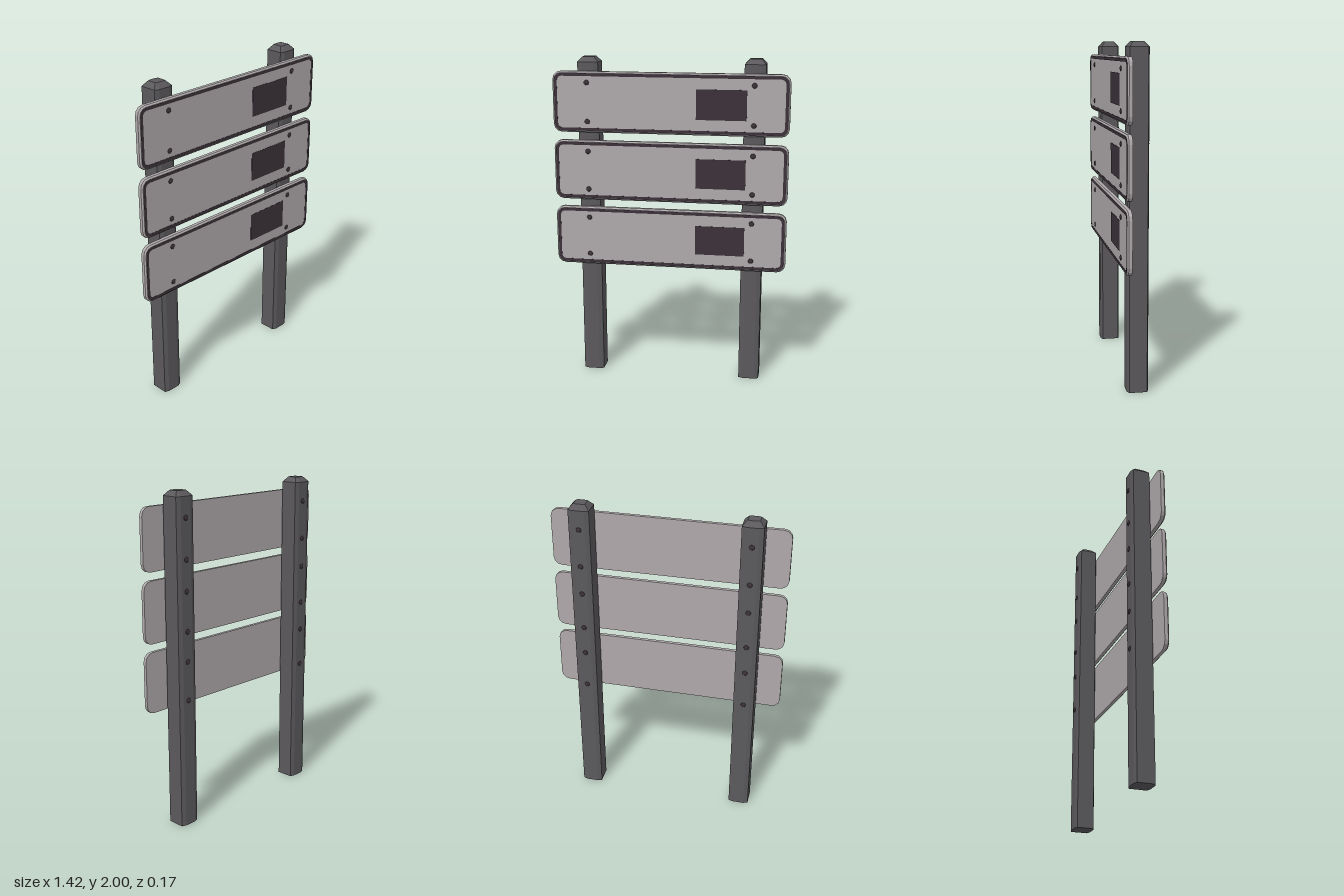
import * as THREE from 'three';

const mat = (name, color) => {
  const m = new THREE.MeshStandardMaterial({ color });
  m.name = name;
  return m;
};

// Counter-clockwise outline of a rounded rectangle, three facets per corner
function roundedRect(hw, hh, r, steps = 3) {
  const pts = [];
  [[1, 1], [-1, 1], [-1, -1], [1, -1]].forEach(([sx, sy], q) => {
    for (let i = 0; i <= steps; i++) {
      const a = (q + i / steps) * Math.PI / 2;
      pts.push(new THREE.Vector2(sx * (hw - r) + r * Math.cos(a), sy * (hh - r) + r * Math.sin(a)));
    }
  });
  return pts;
}

// Octagonal post section with shallow chamfers on the front and back
const postSection = (k) => [
  [0.063, -0.052], [0.063, 0.052], [0.037, 0.062], [-0.037, 0.062],
  [-0.063, 0.052], [-0.063, -0.052], [-0.037, -0.062], [0.037, -0.062],
].map(([x, y]) => new THREE.Vector2(x * k, y * k));

// Flat-shaded solid through matching convex rings [outline, z], with end caps
function loft(rings) {
  const pos = [];
  const n = rings[0][0].length;
  const put = (r, i) => {
    const p = rings[r][0][i % n];
    pos.push(p.x, p.y, rings[r][1]);
  };
  for (let r = 0; r < rings.length - 1; r++) {
    for (let i = 0; i < n; i++) {
      put(r, i); put(r, i + 1); put(r + 1, i + 1);
      put(r, i); put(r + 1, i + 1); put(r + 1, i);
    }
  }
  const last = rings.length - 1;
  for (let i = 1; i < n - 1; i++) {
    put(0, 0); put(0, i + 1); put(0, i);
    put(last, 0); put(last, i); put(last, i + 1);
  }
  const g = new THREE.BufferGeometry();
  g.setAttribute('position', new THREE.Float32BufferAttribute(pos, 3));
  g.computeVertexNormals();
  return g;
}

export function createModel() {
  const model = new THREE.Group();
  model.name = 'signpost';
  const postMat = mat('post grey', 0x5b595c);
  const boardMat = mat('board grey', 0xafa9ab);
  const darkMat = mat('dark trim', 0x3b3239);

  const add = (parent, name, geo, material, x = 0, y = 0, z = 0) => {
    const mesh = new THREE.Mesh(geo, material);
    mesh.name = name;
    mesh.position.set(x, y, z);
    parent.add(mesh);
    return mesh;
  };

  // Posts with tapered caps
  const postGeo = loft([[postSection(1), 0], [postSection(1), 1.97], [postSection(0.55), 2]]);
  postGeo.rotateX(-Math.PI / 2);
  add(model, 'rightPost', postGeo, postMat, -0.5, 0, -0.015);
  add(model, 'leftPost', postGeo, postMat, 0.5, 0, -0.015);

  // Board: rounded plate with a bevelled front edge
  const outer = roundedRect(0.71, 0.183, 0.05);
  const boardGeo = loft([
    [outer, 0.047],
    [outer, 0.068],
    [roundedRect(0.701, 0.174, 0.043), 0.076],
  ]);

  // Border strip: thin rounded frame
  const frame = new THREE.Shape(roundedRect(0.699, 0.172, 0.041));
  frame.holes.push(new THREE.Path(roundedRect(0.682, 0.155, 0.028).reverse()));
  const frameGeo = new THREE.ExtrudeGeometry(frame, { depth: 0.002, bevelEnabled: false });

  const panelGeo = new THREE.BoxGeometry(0.3, 0.18, 0.003);

  // Domed bolt head facing +z
  const boltGeo = new THREE.SphereGeometry(0.016, 10, 4, 0, Math.PI * 2, 0, Math.PI / 2);
  boltGeo.rotateX(Math.PI / 2);
  boltGeo.scale(1, 1, 0.45);

  [1.735, 1.32, 0.906].forEach((y, i) => {
    const sign = new THREE.Group();
    sign.name = ['topSign', 'middleSign', 'bottomSign'][i];
    sign.position.y = y;
    model.add(sign);
    add(sign, 'board', boardGeo, boardMat);
    add(sign, 'border', frameGeo, darkMat, 0, 0, 0.0755);
    add(sign, 'darkPanel', panelGeo, darkMat, 0.308, 0, 0.076);
    for (const x of [-0.5, 0.5]) {
      for (const by of [-0.117, 0.117]) {
        add(sign, 'frontBolt', boltGeo, darkMat, x, by, 0.076);
        add(sign, 'backBolt', boltGeo, darkMat, x, by, -0.077).rotation.y = Math.PI;
      }
    }
  });
  return model;
}
